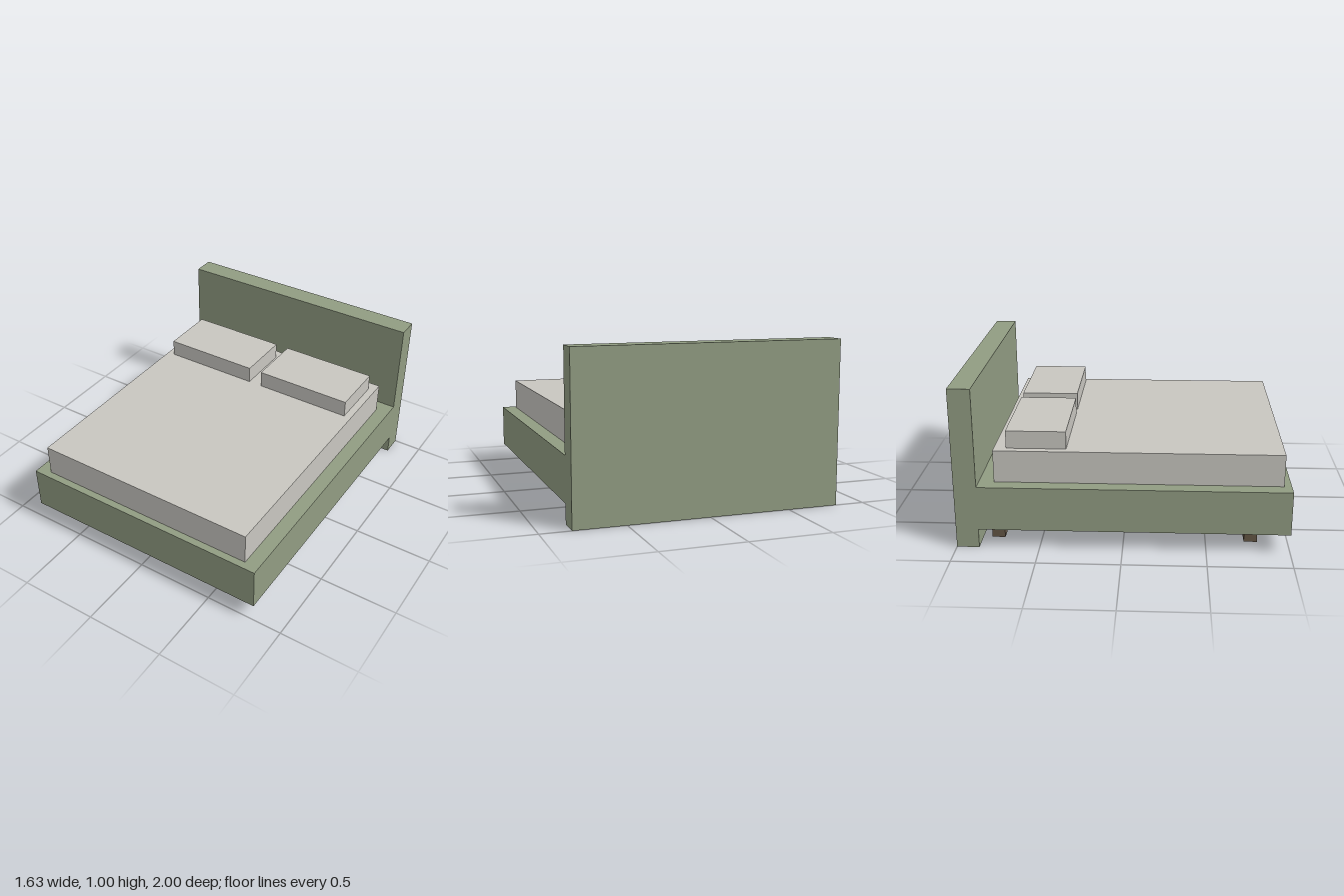
import * as THREE from 'three';

const material = (name, color) => {
  const m = new THREE.MeshStandardMaterial({ color });
  m.name = name;
  return m;
};

export function createModel() {
  const bed = new THREE.Group();
  bed.name = 'bed';
  const upholstery = material('sage green upholstery', 0x919c82);
  const linen = material('pale grey linen', 0xc8c6c0);
  const wood = material('dark brown wood', 0x645645);

  // Box given by its extents along each axis
  const addBox = (name, mat, [x0, x1], [y0, y1], [z0, z1]) => {
    const mesh = new THREE.Mesh(new THREE.BoxGeometry(x1 - x0, y1 - y0, z1 - z0), mat);
    mesh.position.set((x0 + x1) / 2, (y0 + y1) / 2, (z0 + z1) / 2);
    mesh.name = name;
    bed.add(mesh);
  };

  // Headboard reaches the floor; the base butts against it
  addBox('headboard', upholstery, [-0.816, 0.816], [0, 1], [-1, -0.864]);
  addBox('base', upholstery, [-0.816, 0.816], [0.118, 0.392], [-0.864, 1]);
  addBox('mattress', linen, [-0.727, 0.727], [0.392, 0.591], [-0.773, 0.955]);

  // Mirrored pillows and legs
  for (const [side, s] of [['left', 1], ['right', -1]]) {
    const span = (a, b) => (s > 0 ? [a, b] : [-b, -a]);
    addBox(`${side}Pillow`, linen, span(0.045, 0.68), [0.591, 0.7], [-0.7, -0.34]);
    addBox(`${side}FrontLeg`, wood, span(0.595, 0.677), [0, 0.118], [0.735, 0.815]);
    addBox(`${side}BackLeg`, wood, span(0.595, 0.677), [0, 0.118], [-0.81, -0.73]);
  }
  return bed;
}
